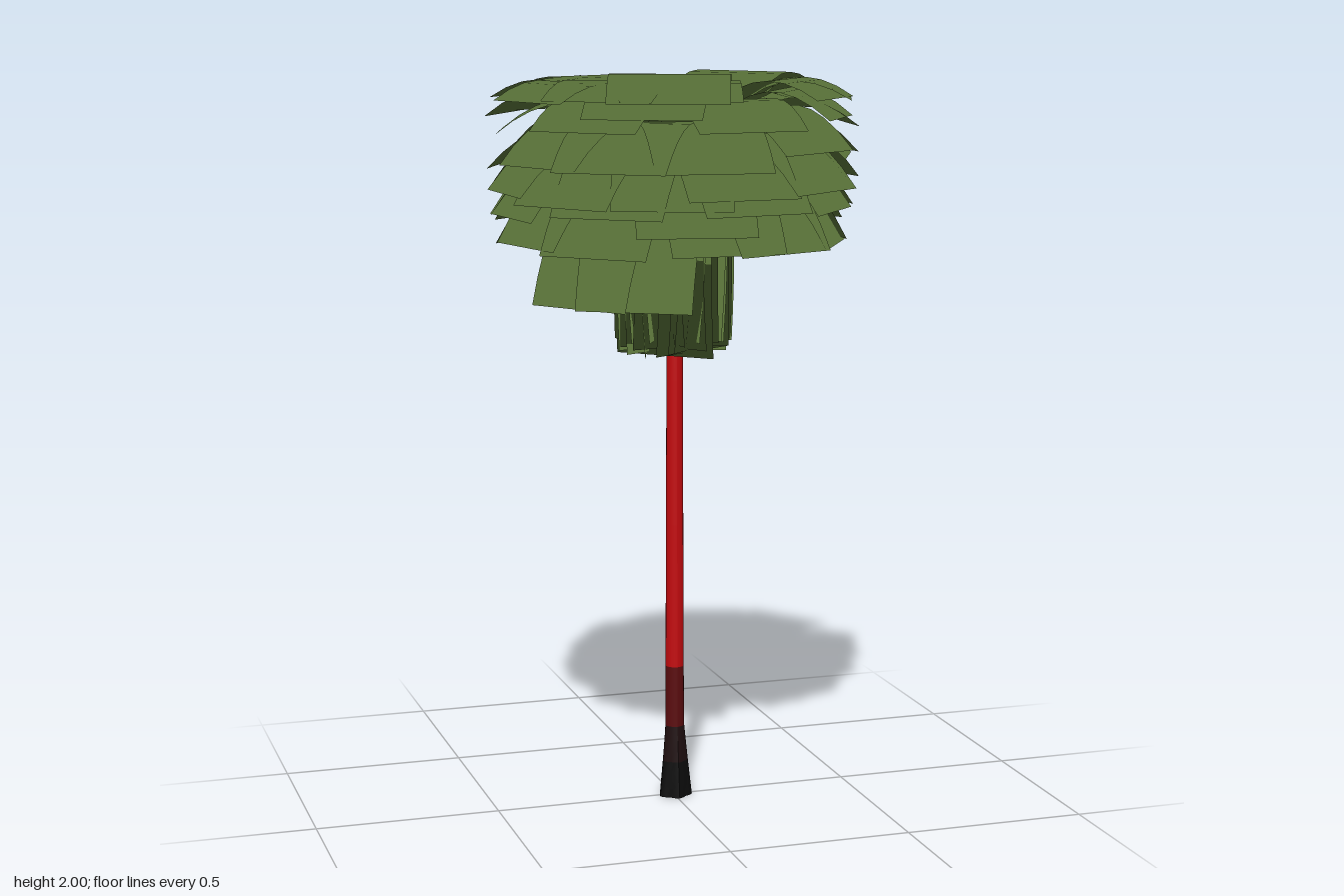
import * as THREE from 'three';

const leafGreen = new THREE.MeshStandardMaterial({ color: 0x577037, side: THREE.DoubleSide });
leafGreen.name = 'leafGreen';
const barkRed = new THREE.MeshStandardMaterial({ color: 0xc20a0e });
barkRed.name = 'barkRed';
const barkDarkRed = new THREE.MeshStandardMaterial({ color: 0x5a0c0e });
barkDarkRed.name = 'barkDarkRed';
const barkBrown = new THREE.MeshStandardMaterial({ color: 0x1e0e0f });
barkBrown.name = 'barkBrown';
const barkBlack = new THREE.MeshStandardMaterial({ color: 0x0c0c0c });
barkBlack.name = 'barkBlack';

const FROND_WIDTH = 0.31;

// Seeded jitter between -1 and 1
function makeJitter(seed) {
  return () => {
    seed = (seed * 16807) % 2147483647;
    return (seed / 2147483647) * 2 - 1;
  };
}

// Curved strip swept along [radius, height] control points, pointing at an angle
function frond(name, angle, controls, width = FROND_WIDTH) {
  const curve = new THREE.QuadraticBezierCurve(...controls.map(([r, y]) => new THREE.Vector2(r, y)));
  const geo = new THREE.PlaneGeometry(width, 1, 1, 12);
  const { position, normal } = geo.attributes;
  for (let i = 0; i < position.count; i++) {
    // Top edge of the plane becomes the root, bottom edge the tip
    const p = curve.getPoint(0.5 - position.getY(i));
    position.setXYZ(i, position.getX(i), p.y, p.x);
    // Upright normals shade the foliage evenly
    normal.setXYZ(i, 0, 1, 0);
  }
  geo.rotateY(angle);
  const mesh = new THREE.Mesh(geo, leafGreen);
  mesh.name = name;
  return mesh;
}

// Trunk section; lobes swell the root end
function trunkSection(name, y0, y1, r0, r1, lobe0, lobe1, material) {
  const geo = new THREE.CylinderGeometry(1, 1, 1, 20, 3, y0 > 0 && y1 < 1.5);
  const pos = geo.attributes.position;
  for (let i = 0; i < pos.count; i++) {
    const t = pos.getY(i) + 0.5;
    const angle = Math.atan2(pos.getX(i), pos.getZ(i));
    const lobe = 1 + THREE.MathUtils.lerp(lobe0, lobe1, t) * Math.cos(angle * 5);
    const r = THREE.MathUtils.lerp(r0, r1, t) * lobe;
    pos.setXYZ(i, pos.getX(i) * r, THREE.MathUtils.lerp(y0, y1, t), pos.getZ(i) * r);
  }
  geo.computeVertexNormals();
  const mesh = new THREE.Mesh(geo, material);
  mesh.name = name;
  return mesh;
}

export function createModel() {
  const model = new THREE.Group();
  model.name = 'palmTree';
  const jitter = makeJitter(4711);

  // Trunk, dark at the root and red above
  const trunk = new THREE.Group();
  trunk.name = 'trunk';
  trunk.add(
    trunkSection('rootFoot', 0, 0.1, 0.043, 0.034, 0.12, 0.08, barkBlack),
    trunkSection('rootNeck', 0.1, 0.2, 0.034, 0.026, 0.08, 0.02, barkBrown),
    trunkSection('lowerTrunk', 0.2, 0.37, 0.026, 0.025, 0.02, 0, barkDarkRed),
    trunkSection('upperTrunk', 0.37, 1.57, 0.025, 0.021, 0, 0, barkRed)
  );
  trunk.position.x = 0.004;
  model.add(trunk);

  // Crown tiers, from the top down: tip height, tip radius, control radius, control height, count
  const crown = new THREE.Group();
  crown.name = 'crown';
  const tiers = [
    [1.93, 0.46, 0.17, 2.12, 9],
    [1.86, 0.465, 0.18, 2.1, 10],
    [1.77, 0.47, 0.19, 2.08, 11],
    [1.69, 0.465, 0.2, 2.05, 11],
    [1.62, 0.46, 0.21, 2.01, 11],
    [1.545, 0.44, 0.22, 1.96, 10],
  ];
  tiers.forEach(([tipY, tipR, midR, midY, count], tier) => {
    const spread = tier > 0 && tier < 5 ? 0.03 : 0.012;
    for (let i = 0; i < count; i++) {
      const angle = ((i + tier * 0.37 + jitter() * 0.4) / count) * Math.PI * 2;
      const lift = jitter() * spread;
      crown.add(frond('frond', angle, [
        [0.01, 1.57 + jitter() * 0.01],
        [midR, midY + lift],
        [tipR + jitter() * 0.012, tipY + lift],
      ]));
    }
  });
  // Highest frond, arching to the front
  crown.add(frond('highestFrond', -0.33, [[0.01, 1.57], [0.17, 2.175], [0.475, 1.93]]));
  // Low drooping fronds at the front right
  for (const angle of [-0.96, -0.56]) {
    crown.add(frond('droopingFrond', angle, [[0.01, 1.57], [0.27, 1.87], [0.4, 1.4]]));
  }
  model.add(crown);

  // Skirt of dead fronds hanging round the trunk
  const skirt = new THREE.Group();
  skirt.name = 'skirt';
  const hanging = 24;
  for (let i = 0; i < hanging; i++) {
    const angle = ((i + jitter() * 0.3) / hanging) * Math.PI * 2;
    const r = 0.05 + jitter() * 0.022;
    skirt.add(frond('hangingFrond', angle, [
      [0.01, 1.57], [r + 0.04, 1.73], [r, 1.265 + jitter() * 0.025],
    ], 0.29));
  }
  model.add(skirt);
  return model;
}
